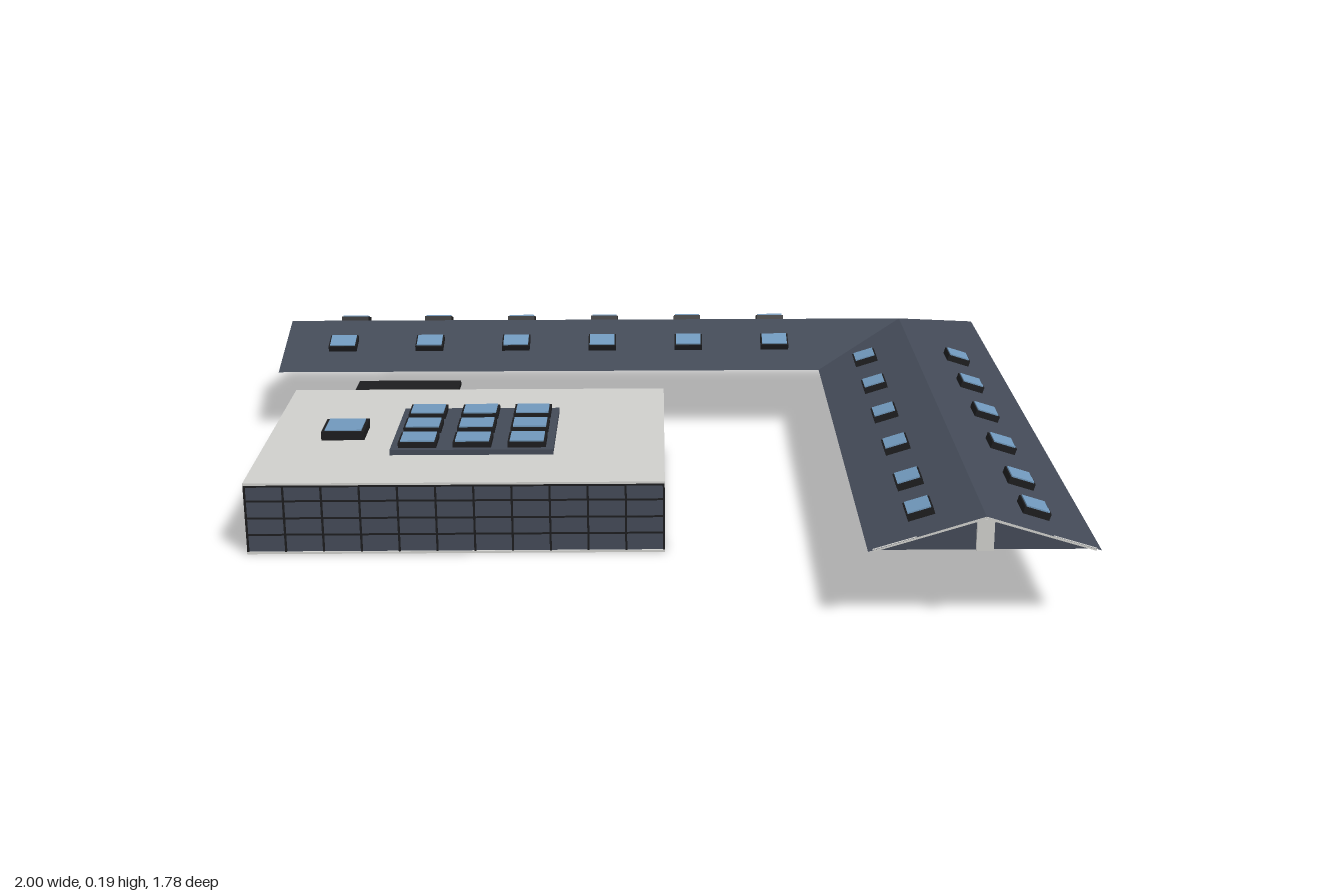
import * as THREE from 'three';

const mat = (name, color, side = THREE.FrontSide) => {
  const m = new THREE.MeshStandardMaterial({ color, side });
  m.name = name;
  return m;
};

export function createModel() {
  const slate = mat('slate roof', 0x434a57, THREE.DoubleSide);
  const glass = mat('dark facade glass', 0x434a57);
  const black = mat('black frame', 0x1c1c1e);
  const pale = mat('pale concrete', 0xcfcfcc, THREE.DoubleSide);
  const blue = mat('skylight blue', 0x7098bc);

  const model = new THREE.Group();
  // Site frame: origin at the outer corner of the L, x along the short wing, z along the long wing
  const site = new THREE.Group();
  site.name = 'site';
  site.rotation.y = -Math.PI / 5;
  site.position.set(-0.12, 0, -0.89);
  model.add(site);

  const add = (parent, name, geo, material, x = 0, y = 0, z = 0) => {
    const m = new THREE.Mesh(geo, material);
    m.name = name;
    m.position.set(x, y, z);
    parent.add(m);
    return m;
  };
  const box = (parent, name, material, w, h, d, x, y, z) =>
    add(parent, name, new THREE.BoxGeometry(w, h, d), material, x, y, z);
  // Flat surface from quads or triangles given as corner lists
  const faces = (polys) => {
    const v = [];
    for (const p of polys)
      for (let i = 1; i < p.length - 1; i++) v.push(...p[0], ...p[i], ...p[i + 1]);
    const g = new THREE.BufferGeometry();
    g.setAttribute('position', new THREE.Float32BufferAttribute(v, 3));
    g.computeVertexNormals();
    return g;
  };
  // Bar between two points
  const bar = (parent, name, material, a, b, t) => {
    const A = new THREE.Vector3(...a), B = new THREE.Vector3(...b);
    const m = box(parent, name, material, t, t, A.distanceTo(B), 0, 0, 0);
    m.position.copy(A).lerp(B, 0.5);
    m.quaternion.setFromUnitVectors(new THREE.Vector3(0, 0, 1), B.clone().sub(A).normalize());
  };

  // L-shaped pitched roof
  const E = 0.133, R = 0.192, W = 0.375, M = W / 2, LZ = 1.496, LX = 1.384;
  const o = [0, E, 0], r = [M, R, M], i = [W, E, W];
  const oz = [0, E, LZ], rz = [M, R, LZ], iz = [W, E, LZ];
  const ox = [LX, E, 0], rx = [LX, R, M], ix = [LX, E, W];
  add(site, 'pitchedRoof', faces([
    [o, oz, rz, r], [r, rz, iz, i], [o, r, rx, ox], [r, i, ix, rx],
  ]), slate);

  // Closed gable on the long wing, glazed gable with a post on the short wing
  add(site, 'paleGable', faces([[oz, iz, rz]]), pale);
  const inX = LX - 0.008;
  add(site, 'glazedGable', faces([[[inX, E, W], [inX, E, 0], [inX, R, M]]]), slate);
  box(site, 'gablePost', pale, 0.006, R - E - 0.006, 0.028, LX - 0.004, (R + E) / 2 - 0.003, M);
  for (const z of [0.008, W - 0.008])
    bar(site, 'gableTrim', pale, [LX - 0.003, E + 0.001, z], [LX - 0.003, R - 0.003, M], 0.004);

  // Skylight: dark frame with a blue pane on top
  const skylight = (x, y, z, w, d, rotX = 0, rotZ = 0, rim = 0.006) => {
    const g = new THREE.Group();
    g.name = 'skylight';
    g.position.set(x, y, z);
    g.rotation.set(rotX, 0, rotZ);
    box(g, 'skylightFrame', black, w, 0.016, d, 0, 0.003, 0);
    box(g, 'skylightPane', blue, w - rim, 0.003, d - rim, 0, 0.012, 0);
    site.add(g);
  };
  const slope = Math.atan2(R - E, M);
  const midY = (E + R) / 2 + 0.001;
  for (const side of [-1, 1]) {
    const off = M + side * 0.0935;
    for (let k = 0; k < 6; k++) {
      skylight(off, midY, 0.463 + k * 0.182, 0.044, 0.058, 0, -side * slope);
      skylight(k < 5 ? 0.405 + k * 0.184 : 1.283, midY, off, 0.056, 0.046, side * slope, 0);
    }
  }

  // Flat-roofed hall
  const hall = new THREE.Group();
  hall.name = 'hall';
  site.add(hall);
  const x0 = 0.5, x1 = 1.05, z0 = 0.698, z1 = 1.438, H = 0.131;
  const cx = (x0 + x1) / 2, cz = (z0 + z1) / 2, w = x1 - x0, d = z1 - z0;
  box(hall, 'floorSlab', pale, w, 0.004, d, cx, 0.002, cz);
  box(hall, 'glassWalls', glass, w - 0.006, H - 0.006, d - 0.006, cx, H / 2, cz);
  box(hall, 'flatRoof', pale, w, 0.004, d, cx, H, cz);
  box(hall, 'roofShadowGap', black, w - 0.002, 0.004, d - 0.002, cx, H - 0.004, cz);

  // Facade grid
  const t = 0.0035;
  for (let k = 0; k <= 8; k++)
    for (const z of [z0 + 0.002, z1 - 0.002])
      box(hall, 'mullion', black, t, H - 0.006, t, x0 + 0.002 + (k / 8) * (w - 0.004), H / 2, z);
  for (let k = 0; k <= 11; k++)
    for (const x of [x0 + 0.002, x1 - 0.002])
      box(hall, 'mullion', black, t, H - 0.006, t, x, H / 2, z0 + 0.002 + (k / 11) * (d - 0.004));
  for (const y of [0.036, 0.067, 0.099])
    box(hall, 'transom', black, w - 0.002, 0.003, d - 0.002, cx, y, cz);

  // Roof lantern: base plate with a three by three skylight grid, and one single skylight
  box(hall, 'lanternBase', slate, 0.247, 0.01, 0.298, 0.779, 0.138, 1.05);
  for (const x of [0.693, 0.777, 0.861])
    for (const z of [0.95, 1.05, 1.15])
      skylight(x, 0.142, z, 0.06, 0.07, 0, 0, 0.008);
  skylight(0.776, 0.138, 1.297, 0.08, 0.08, 0, 0, 0.012);

  // Covered link between hall and long wing
  const link = new THREE.Group();
  link.name = 'coveredLink';
  site.add(link);
  box(link, 'linkFloor', pale, 0.128, 0.006, 0.21, 0.437, 0.007, 1.224);
  box(link, 'linkCanopy', black, 0.128, 0.01, 0.21, 0.437, 0.108, 1.224);
  for (const z of [1.123, 1.325])
    bar(link, 'linkStrut', black, [0.376, 0.01, z], [0.425, 0.104, z], 0.005);

  return model;
}
